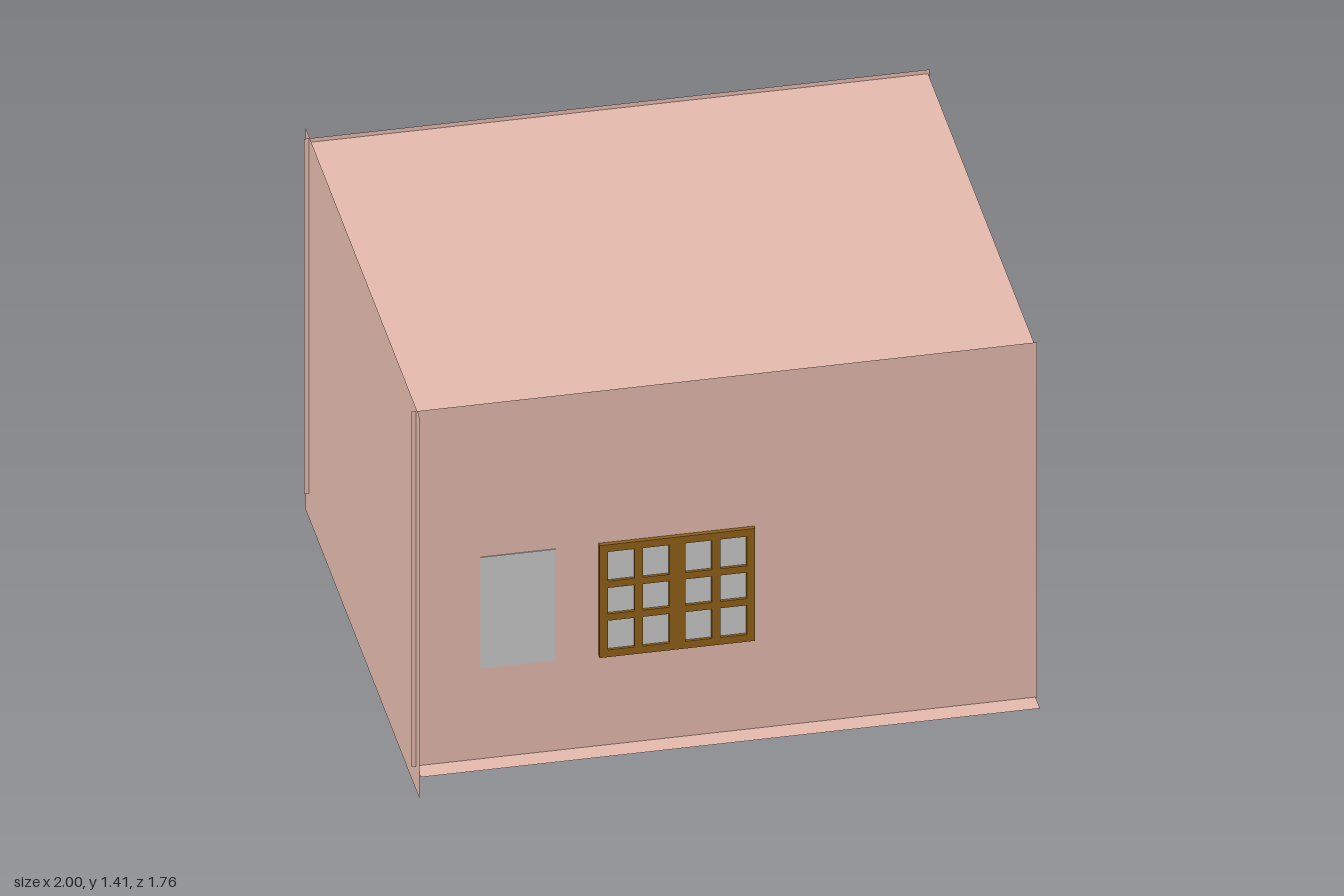
import * as THREE from 'three';

const plaster = new THREE.MeshStandardMaterial({ color: 0xe8beb0, side: THREE.DoubleSide });
const wood = new THREE.MeshStandardMaterial({ color: 0x926218 });
const glass = new THREE.MeshStandardMaterial({ color: 0xcccccc });

// Thin single-sheet panel
function sheet(name, w, h, x, y, z, rx = 0, ry = 0) {
  const m = new THREE.Mesh(new THREE.PlaneGeometry(w, h), plaster);
  m.name = name;
  m.position.set(x, y, z);
  m.rotation.set(rx, ry, 0);
  return m;
}

function pane(name, x, y, z) {
  const m = new THREE.Mesh(new THREE.BoxGeometry(0.24, 0.41, 0.006), glass);
  m.name = name;
  m.position.set(x, y, z);
  return m;
}

function rect(path, x0, x1, y0, y1) {
  path.moveTo(x0, y0);
  path.lineTo(x1, y0);
  path.lineTo(x1, y1);
  path.lineTo(x0, y1);
  path.closePath();
  return path;
}

// Two-leaf window: wooden lattice with glass sheets set inside
function makeWindow(name) {
  const g = new THREE.Group();
  g.name = name;
  const depth = 0.025;
  const shape = rect(new THREE.Shape(), -0.2485, 0.2485, -0.2075, 0.2075);
  const columns = [[-0.222, -0.137], [-0.11, -0.026], [0.026, 0.11], [0.137, 0.222]];
  const rows = [[-0.181, -0.073], [-0.048, 0.048], [0.073, 0.181]];
  for (const [x0, x1] of columns)
    for (const [y0, y1] of rows) shape.holes.push(rect(new THREE.Path(), x0, x1, y0, y1));
  const geo = new THREE.ExtrudeGeometry(shape, { depth, bevelEnabled: false });
  geo.translate(0, 0, -depth / 2);
  const frame = new THREE.Mesh(geo, wood);
  frame.name = 'windowFrame';
  g.add(frame);
  for (const s of [-1, 1]) g.add(pane('windowGlass', s * 0.124, 0, 0));
  return g;
}

export function createModel() {
  const room = new THREE.Group();
  room.name = 'room';
  const H = Math.PI / 2;

  // Shell, open on the +x side
  room.add(
    sheet('frontWall', 2, 1.312, 0, 0.744, 0.81),
    sheet('backWall', 2, 1.312, 0, 0.744, -0.832),
    sheet('sideWall', 1.74, 1.41, -0.985, 0.705, -0.01, 0, H),
    sheet('floor', 1.98, 1.75, 0.005, 0.09, 0.003, -H),
    sheet('ceiling', 1.98, 1.642, 0.005, 1.385, -0.011, -H)
  );

  // Windows in the front and back walls
  const frontWindow = makeWindow('frontWindow');
  frontWindow.position.set(-0.153, 0.63, 0.8125);
  const backWindow = makeWindow('backWindow');
  backWindow.position.set(-0.526, 0.63, -0.825);
  backWindow.rotation.y = Math.PI;
  // Let the glass show on both faces of the back wall
  backWindow.children.forEach((c) => { if (c.material === glass) c.position.z = 0.007; });
  room.add(frontWindow, backWindow);

  // Loose glass sheet on the front wall
  room.add(pane('glassSheet', -0.66, 0.63, 0.81));
  return room;
}
